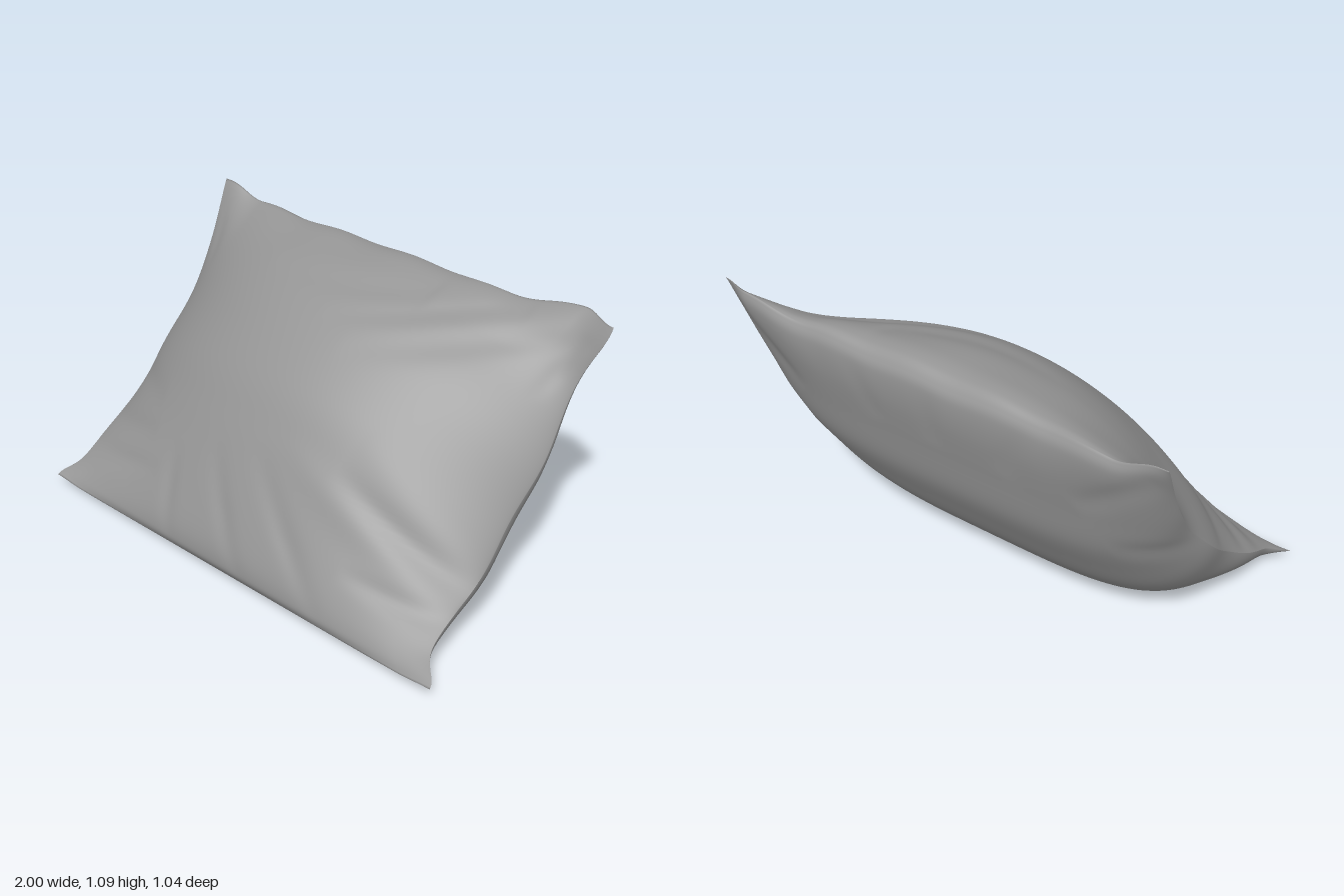
import * as THREE from 'three';
import { mergeVertices } from 'three/addons/utils/BufferGeometryUtils.js';

const { lerp, clamp, smoothstep } = THREE.MathUtils;
const curve = (pts) => new THREE.SplineCurve(pts.map(([z, y]) => new THREE.Vector2(z, y)));

// Profiles through the middle of the pillow as [z, y], bottom seam to top seam
const frontProfile = curve([[0.51, 0.045], [0.527, 0.09], [0.505, 0.19], [0.415, 0.385], [0.3, 0.595], [0.185, 0.76],
  [0, 0.93], [-0.18, 1.03], [-0.36, 1.075], [-0.45, 1.075], [-0.485, 1.05]]);
const backProfile = curve([[0.51, 0.045], [0.49, 0.03], [0.4, 0.013], [0.2, 0.003], [0.03, 0.025], [-0.12, 0.085],
  [-0.23, 0.2], [-0.32, 0.34], [-0.41, 0.51], [-0.46, 0.7], [-0.5, 0.88], [-0.507, 1.0], [-0.485, 1.05]]);
// Side seam, where front and back cloth meet
const seamLine = curve([[0.51, 0.045], [0.4, 0.12], [0.17, 0.26], [-0.08, 0.47], [-0.3, 0.73], [-0.43, 0.95], [-0.485, 1.05]]);

// Folds in the cloth: x0, y0, x1, y1, width, height (negative is a groove)
const frontFolds = [
  [0.95, 0.24, 0.35, 0.56, 0.035, -0.024], [0.95, 0.32, 0.4, 0.65, 0.05, 0.014],
  [0.95, 0.17, 0.5, 0.26, 0.03, -0.02], [0.9, 0.2, 0.1, 0.6, 0.05, 0.012],
  [0.45, 0.1, 0.0, 0.55, 0.04, -0.012], [0.1, 0.06, -0.2, 0.5, 0.04, -0.012],
  [-0.3, 0.06, -0.4, 0.4, 0.04, -0.012], [-0.95, 0.24, -0.55, 0.38, 0.03, -0.018],
  [-0.95, 0.15, -0.45, 0.28, 0.03, -0.016], [-0.95, 0.4, -0.6, 0.48, 0.04, -0.012],
  [-0.9, 0.08, -0.6, 0.18, 0.03, 0.01], [0.65, 1.05, 0, 0.96, 0.025, -0.014],
  [0.3, 1.05, -0.4, 1.0, 0.025, -0.012], [0.93, 1.0, 0.15, 0.9, 0.04, -0.014],
  [0.9, 1.0, 0.82, 0.8, 0.035, -0.015], [-0.92, 1.0, -0.85, 0.8, 0.035, -0.012],
];
const backFolds = [
  [-0.9, 1.0, -0.6, 0.75, 0.05, -0.02], [0.9, 1.0, 0.65, 0.7, 0.05, -0.02],
  [-0.4, 1.02, -0.3, 0.75, 0.05, -0.009], [0, 1.02, 0, 0.75, 0.05, -0.009],
  [0.35, 1.02, 0.25, 0.75, 0.05, -0.009], [-0.93, 0.6, -0.7, 0.55, 0.05, -0.012],
  [0.93, 0.6, 0.7, 0.5, 0.05, -0.012], [0.93, 0.3, 0.7, 0.25, 0.05, -0.012],
];

// Summed fold height at a point, each fold fading out towards its far end
function foldHeight(folds, x, y) {
  let sum = 0;
  for (const [x0, y0, x1, y1, width, height] of folds) {
    const dx = x1 - x0, dy = y1 - y0;
    const k = clamp(((x - x0) * dx + (y - y0) * dy) / (dx * dx + dy * dy), 0, 1);
    const d = Math.hypot(x - x0 - k * dx, y - y0 - k * dy) / width;
    sum += height * Math.exp(-d * d) * (1 - k * k);
  }
  return sum;
}

// How full the pillow is at u: a dome in front, a rounder bag behind
function fillAt(u, t, front) {
  const a = Math.abs(u);
  if (front) return Math.pow(1 - a * a, 0.85);
  const power = (u > 0 ? 2.9 : 3.6) + 1.2 * t + 6 * Math.exp(-((t / 0.14) ** 2));
  return Math.pow(1 - Math.pow(a, power), 0.55);
}

// One point of the cloth: u runs -1..1 across, t runs 0..1 from bottom to top seam
function clothPoint(u, t, front) {
  const a = Math.abs(u);
  const fill = fillAt(u, t, front);
  const p = seamLine.getPointAt(t).lerp((front ? frontProfile : backProfile).getPointAt(t), fill);

  // Half width, drawn out into ears at the corners
  const bottomEar = Math.exp(-((t / 0.055) ** 2));
  const topEar = Math.exp(-(((1 - t) / 0.1) ** 2));
  const wave = 0.008 * Math.sin(t * 19 + 2 * u) * Math.sin(Math.PI * t);
  const side = u > 0 ? 0.918 + 0.082 * topEar : 0.945 + 0.025 * topEar;
  const x = u * (lerp(side, 1, bottomEar) + wave);

  // Corners lift into puffs, and the top hem ripples slightly
  const puff = u > 0 ? smoothstep(u, 0.55, 0.88) : smoothstep(-u, 0.78, 0.97);
  const tip = smoothstep(a, 0.85, 1);
  p.y += 0.045 * puff * topEar + 0.01 * tip * bottomEar + 0.004 * Math.sin(x * 17) * (1 - puff) * topEar;
  p.x -= 0.015 * smoothstep(a, 0.5, 0.75) * topEar;
  if (u > 0) {
    p.x += 0.05 * tip * topEar;
    p.y -= 0.015 * tip * topEar;
  }

  // Folds push along the face direction and vanish at the seams
  const h = foldHeight(front ? frontFolds : backFolds, x, p.y) * Math.sqrt(fill) * Math.min(1, 6 * t, 6 * (1 - t));
  const dir = front ? 0.71 : -0.71;
  return [x, p.y + h * dir, p.x + h * dir];
}

// Closed loops of cloth, one per station across the width
function pillowGeometry(columns = 180, rows = 90) {
  const ring = rows * 2, positions = [], index = [];
  for (let i = 0; i <= columns; i++) {
    const u = Math.sin((i / columns - 0.5) * Math.PI);
    for (let j = 0; j < ring; j++) {
      const front = j <= rows;
      const s = front ? j / rows : (ring - j) / rows;
      const t = 0.5 * s + 0.25 * (1 - Math.cos(Math.PI * s));
      positions.push(...clothPoint(u, t, front));
    }
  }
  for (let i = 0; i < columns; i++) {
    for (let j = 0; j < ring; j++) {
      const k = (j + 1) % ring;
      const a = i * ring + j, b = a + ring, c = (i + 1) * ring + k, d = i * ring + k;
      index.push(a, b, c, a, c, d);
    }
  }
  let geometry = new THREE.BufferGeometry();
  geometry.setAttribute('position', new THREE.Float32BufferAttribute(positions, 3));
  geometry.setIndex(index);
  geometry = mergeVertices(geometry, 1e-5);
  geometry.computeVertexNormals();

  // Stand on the ground, centred
  geometry.center();
  geometry.computeBoundingBox();
  geometry.translate(0, -geometry.boundingBox.min.y, 0);
  return geometry;
}

export function createModel() {
  const group = new THREE.Group();
  group.name = 'pillow';
  const material = new THREE.MeshStandardMaterial({ color: 0x969696, side: THREE.DoubleSide });
  const cushion = new THREE.Mesh(pillowGeometry(), material);
  cushion.name = 'cushion';
  group.add(cushion);
  return group;
}
